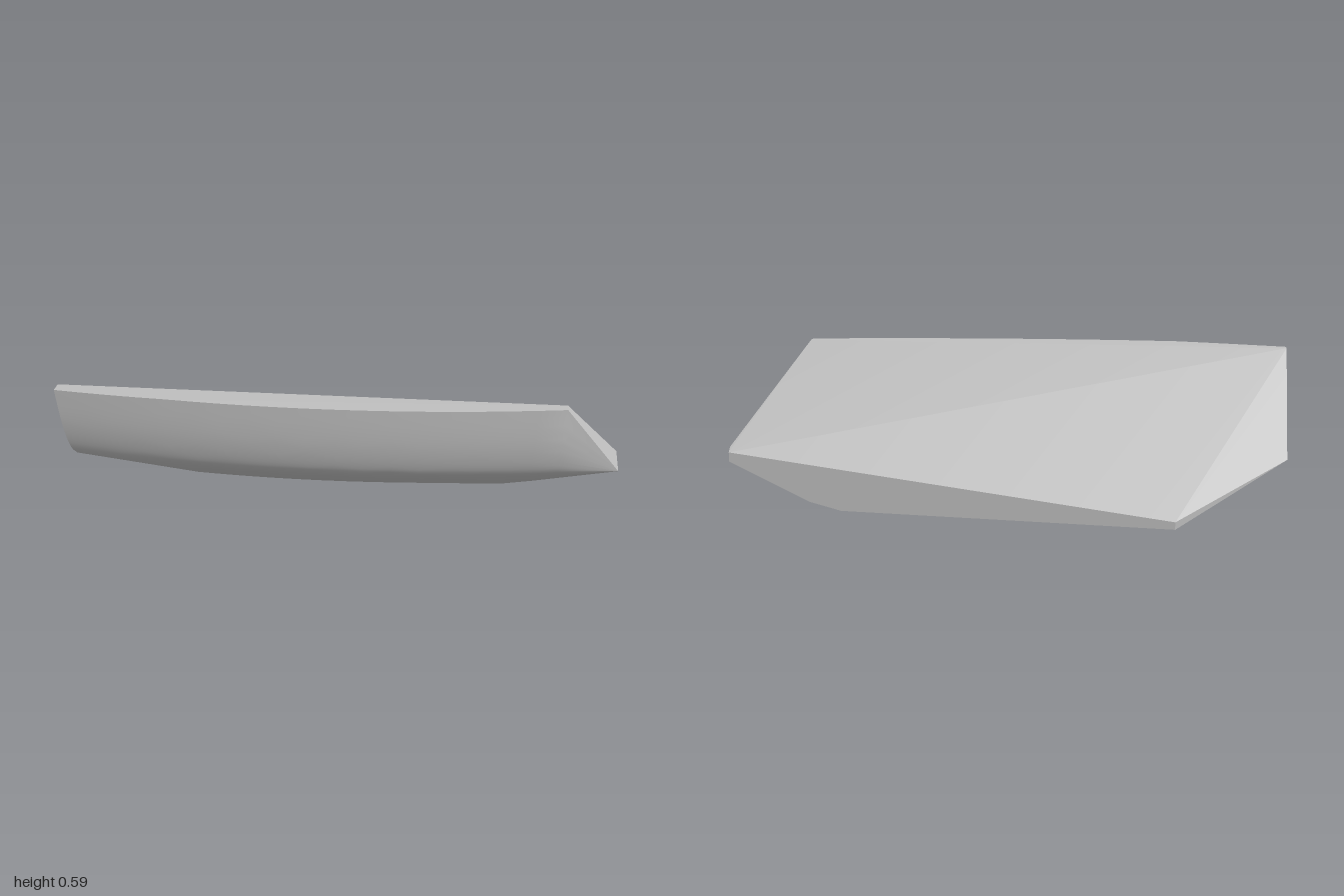
import * as THREE from 'three';
import { ConvexGeometry } from 'three/addons/geometries/ConvexGeometry.js';
import { toCreasedNormals } from 'three/addons/utils/BufferGeometryUtils.js';

const V = (x, y, z) => new THREE.Vector3(x, y, z);

// the wall follows a wide arc seen from above
const drop = (x) => 0.078 * (x + 0.6) ** 2;

export function createModel() {
  const group = new THREE.Group();
  group.name = 'curvedShard';
  const clay = new THREE.MeshStandardMaterial({ color: 0xc0c0c0 });
  clay.name = 'pale grey';

  // side profile of the wall, rim down to the start of the sloping underside
  const profile = new THREE.CatmullRomCurve3([
    V(0, 0.595, 0.229), V(0, 0.5, 0.224), V(0, 0.42, 0.215),
    V(0, 0.345, 0.198), V(0, 0.295, 0.178), V(0, 0.25, 0.143),
  ]).getPoints(14);

  // outer wall
  const points = [];
  const steps = 18;
  for (let i = 0; i <= steps; i++) {
    const x = -1 + (1.77 * i) / steps;
    for (const p of profile) {
      const y = Math.min(p.y, 0.595 - 0.025 * Math.max(0, -0.6 - x));
      points.push(V(x, y, p.z - drop(x)));
    }
  }

  // foot: a narrow flat strip with a softened front edge
  for (let i = 0; i <= 12; i++) {
    const x = -0.62 + 0.1 * i;
    const lift = 0.008 * i / 12;
    const z = -0.13 - drop(x);
    points.push(V(x, 0.015 + lift, Math.max(z + 0.014, -0.23)));
    points.push(V(x, 0.006 + lift, Math.max(z, -0.23)));
    points.push(V(x, 0.003 + lift, Math.max(z - 0.03, -0.23)));
  }
  points.push(V(-0.62, 0.003, -0.23), V(0.5, 0.011, -0.23), V(0.7, 0.04, -0.23));

  // corners of the slanted broken back face
  points.push(
    V(-1, 0.585, 0.18), V(0.77, 0.595, 0.055),
    V(1, 0.213, -0.23), V(-0.62, 0.03, -0.23), V(-1, 0.225, -0.06),
  );

  // small blunt tip
  points.push(V(1, 0.232, -0.088), V(1, 0.231, -0.215), V(1, 0.178, -0.23));

  const geometry = toCreasedNormals(new ConvexGeometry(points), THREE.MathUtils.degToRad(24));
  const shard = new THREE.Mesh(geometry, clay);
  shard.name = 'shardBody';
  group.add(shard);
  return group;
}
